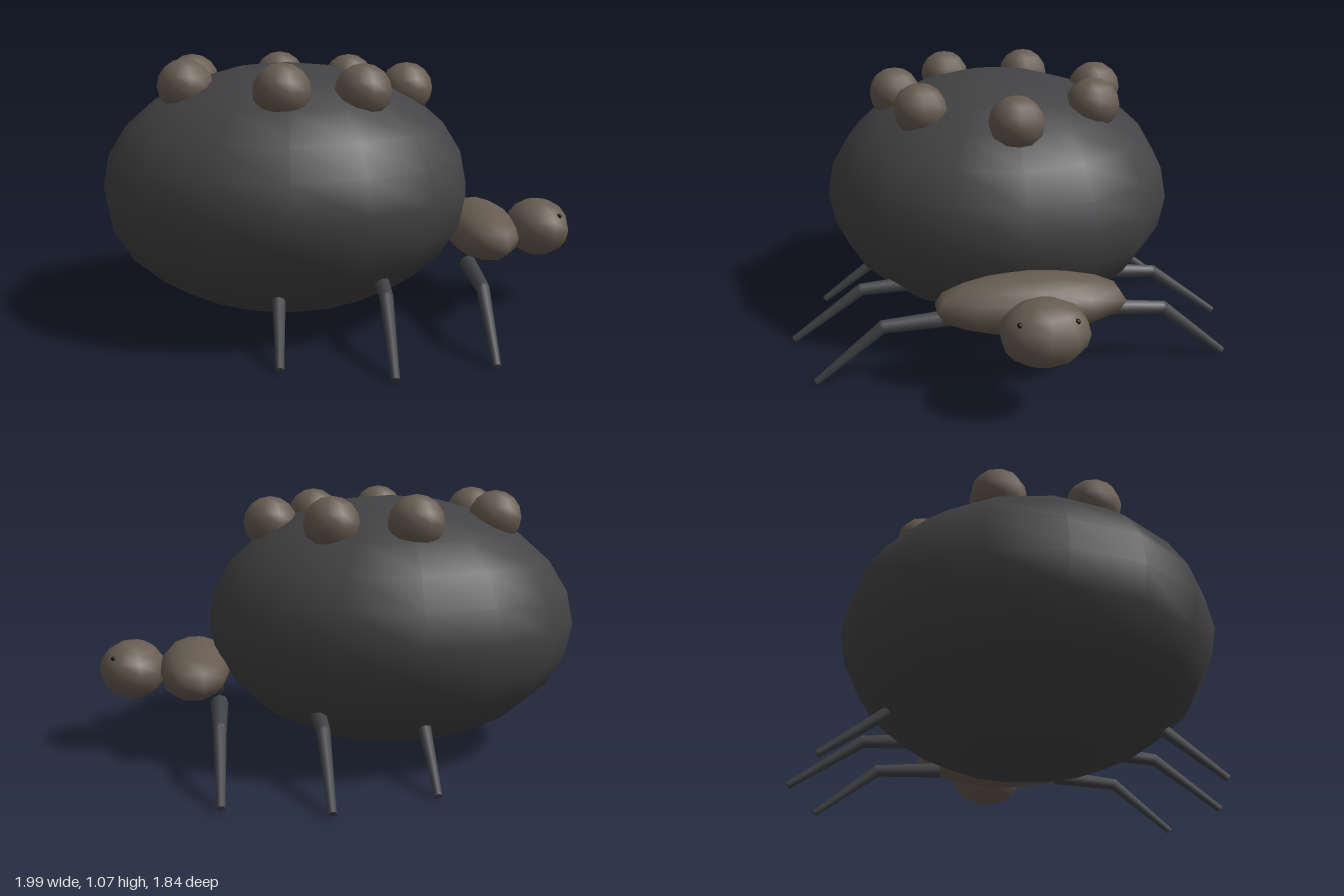
import * as THREE from 'three';

const shell = new THREE.MeshStandardMaterial({ color: 0x434345 });
const brown = new THREE.MeshStandardMaterial({ color: 0x685c51 });
const legGrey = new THREE.MeshStandardMaterial({ color: 0x424346 });
const black = new THREE.MeshStandardMaterial({ color: 0x141414 });

export function createModel() {
  const model = new THREE.Group();

  function ellipsoid(name, material, center, radii, sides, rings) {
    const geometry = new THREE.SphereGeometry(1, sides, rings);
    geometry.scale(...radii);
    const mesh = new THREE.Mesh(geometry, material);
    mesh.name = name;
    mesh.position.set(...center);
    model.add(mesh);
  }

  // tapered limb between two points
  function limb(name, from, to, r0, r1) {
    const a = new THREE.Vector3(...from);
    const b = new THREE.Vector3(...to);
    const dir = b.clone().sub(a);
    const mesh = new THREE.Mesh(new THREE.CylinderGeometry(r1, r0, dir.length(), 8), legGrey);
    mesh.name = name;
    mesh.position.copy(a).add(b).multiplyScalar(0.5);
    mesh.quaternion.setFromUnitVectors(new THREE.Vector3(0, 1, 0), dir.normalize());
    return mesh;
  }

  // large abdomen, thorax and head in a row along x
  ellipsoid('abdomen', shell, [-0.23, 0.535, 0], [0.768, 0.515, 0.745], 16, 12);
  ellipsoid('thorax', brown, [0.6, 0.333, 0], [0.15, 0.113, 0.375], 10, 8);
  ellipsoid('head', brown, [0.857, 0.333, 0], [0.138, 0.122, 0.165], 10, 8);
  for (const s of [-1, 1]) ellipsoid('eye', black, [0.925, 0.398, s * 0.1], [0.011, 0.011, 0.011], 6, 4);

  // ring of spots on the back
  const spots = [[-0.63, 0.968, 0.187], [-0.252, 0.966, 0.44], [0.06, 0.957, 0.355], [0.275, 0.94, 0]];
  for (const [x, y, z] of spots) {
    for (const s of z ? [-1, 1] : [1]) {
      ellipsoid('backSpot', brown, [x, y, s * z], [0.111, 0.108, 0.111], 10, 8);
    }
  }

  // three pairs of jointed legs: x, knee z and foot z
  for (const [x, kneeZ, footZ, kneeY] of [[0.5, 0.55, 0.81, 0.225], [0.123, 0.625, 0.91, 0.22], [-0.273, 0.53, 0.79, 0.205]]) {
    for (const s of [-1, 1]) {
      const leg = new THREE.Group();
      leg.name = 'leg';
      const knee = [x, kneeY, s * kneeZ];
      leg.add(limb('upperLeg', [x, kneeY + 0.02, s * (kneeZ - 0.28)], knee, 0.035, 0.027));
      leg.add(limb('lowerLeg', knee, [x, 0.014, s * footZ], 0.026, 0.015));
      const joint = new THREE.Mesh(new THREE.SphereGeometry(0.026, 8, 6), legGrey);
      joint.name = 'knee';
      joint.position.set(...knee);
      leg.add(joint);
      model.add(leg);
    }
  }

  return model;
}
